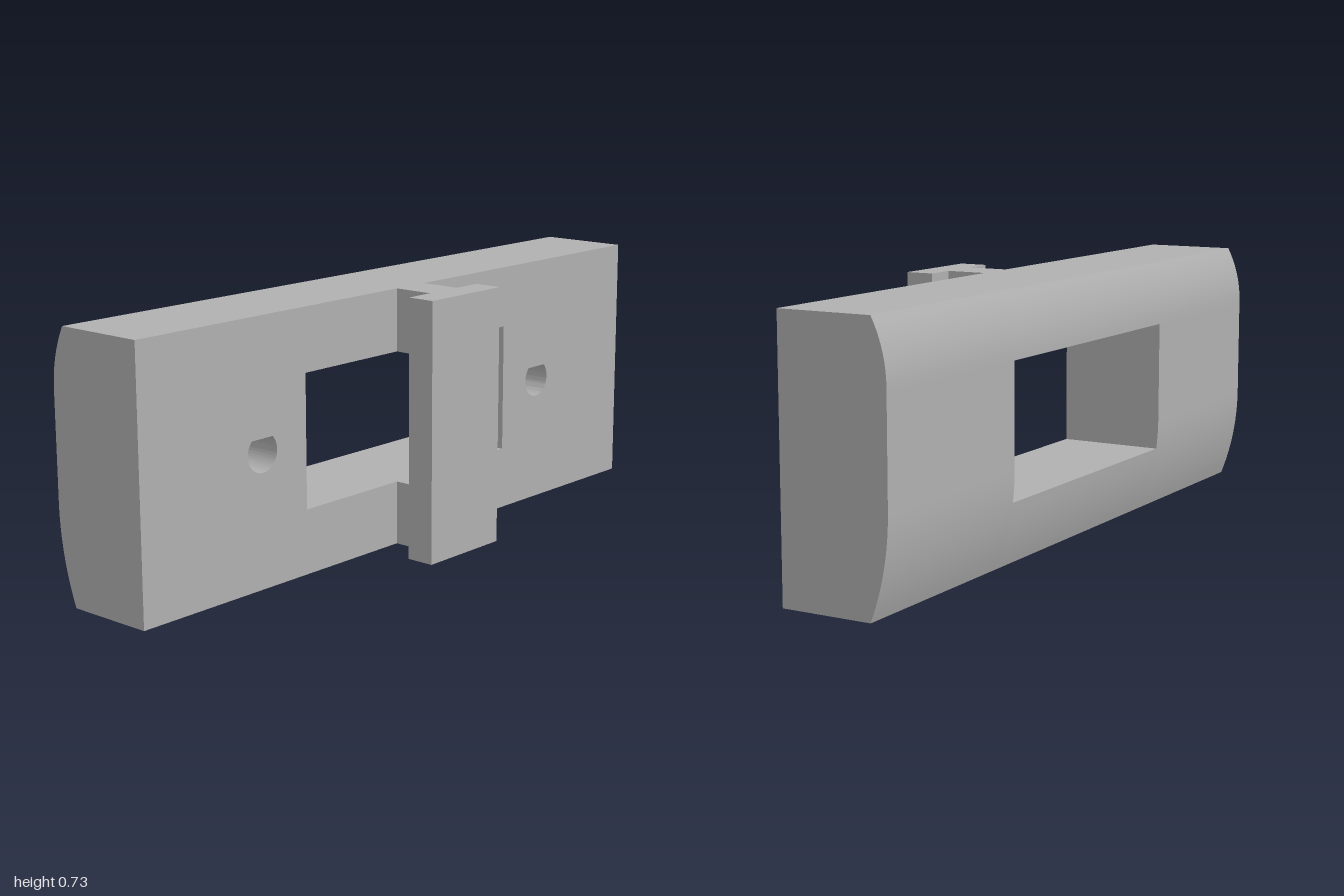
import * as THREE from 'three';
import { toCreasedNormals } from 'three/addons/utils/BufferGeometryUtils.js';

const H = 0.725, FRONT = 0.055, SPLIT = -0.145, BACK = -0.252;
const WIN = { x: 0.42, y0: 0.18, y1: 0.55 };

// Depth of the rounded back at height y: two arcs with a flat band between
function backZ(y) {
  const arc = (d, r) => r - Math.sqrt(r * r - d * d);
  if (y < 0.27) return BACK + arc(0.27 - y, 0.727);
  if (y > 0.56) return BACK + arc(y - 0.56, 0.345);
  return BACK;
}

// Extrude a side outline of [z, y] points along x
function extrudeAlongX(points, x0, x1) {
  const shape = new THREE.Shape(points.map(([z, y]) => new THREE.Vector2(-z, y)));
  const geo = new THREE.ExtrudeGeometry(shape, { depth: x1 - x0, bevelEnabled: false });
  geo.rotateY(Math.PI / 2).translate(x0, 0, 0);
  return toCreasedNormals(geo, 0.3);
}

// Outline of the rounded back between two heights
function backOutline(y0, y1) {
  const ys = [WIN.y0, WIN.y1];
  for (let i = 0; i <= 12; i++) ys.push(0.27 * i / 12, 0.56 + (H - 0.56) * i / 12);
  const inside = ys.filter(y => y > y0 + 1e-6 && y < y1 - 1e-6).sort((a, b) => a - b);
  const curve = [y0, ...inside, y1].map(y => [backZ(y), y]);
  return [[SPLIT, y0], ...curve, [SPLIT, y1]];
}

function rect(PathType, x0, y0, x1, y1) {
  return new PathType([[x0, y0], [x1, y0], [x1, y1], [x0, y1]].map(p => new THREE.Vector2(...p)));
}

// Round hole with a pointed 45 degree roof
function teardrop(cx, cy, r) {
  const path = new THREE.Path();
  path.moveTo(cx, cy + r * Math.SQRT2);
  path.absarc(cx, cy, r, Math.PI * 0.75, Math.PI * 2.25, false);
  path.closePath();
  return path;
}

export function createModel() {
  const group = new THREE.Group();
  const grey = new THREE.MeshStandardMaterial({ color: 0xb0b0b0 });
  grey.name = 'grey';
  const add = (name, geo) => {
    const mesh = new THREE.Mesh(geo, grey);
    mesh.name = name;
    group.add(mesh);
  };

  // Front half of the slab with the window and two blind teardrop holes
  const plate = rect(THREE.Shape, -1, 0, 1, H);
  plate.holes.push(rect(THREE.Path, -WIN.x, WIN.y0, WIN.x, WIN.y1));
  for (const s of [-1, 1]) plate.holes.push(teardrop(s * 0.582, 0.367, 0.053));
  const plateGeo = new THREE.ExtrudeGeometry(plate, { depth: FRONT - SPLIT, bevelEnabled: false, curveSegments: 32 });
  plateGeo.translate(0, 0, SPLIT);
  add('frontPlate', toCreasedNormals(plateGeo, 0.4));

  // Rounded back half, framed around the window
  add('backRightBlock', extrudeAlongX(backOutline(0, H), -1, -WIN.x));
  add('backLeftBlock', extrudeAlongX(backOutline(0, H), WIN.x, 1));
  add('backLowerRail', extrudeAlongX(backOutline(0, WIN.y0), -WIN.x, WIN.x));
  add('backUpperRail', extrudeAlongX(backOutline(WIN.y1, H), -WIN.x, WIN.x));

  // T-shaped rail: a stem notched behind the window, and its flange
  const stem = [[0.172, 0], [FRONT, 0], [FRONT, WIN.y0], [0.115, WIN.y0],
    [0.115, WIN.y1], [FRONT, WIN.y1], [FRONT, H], [0.172, H]];
  add('railStem', extrudeAlongX(stem, -0.057, 0.057));
  const flange = new THREE.BoxGeometry(0.286, H, 0.081);
  flange.translate(0, H / 2, 0.2125);
  add('railFlange', flange);

  return group;
}
